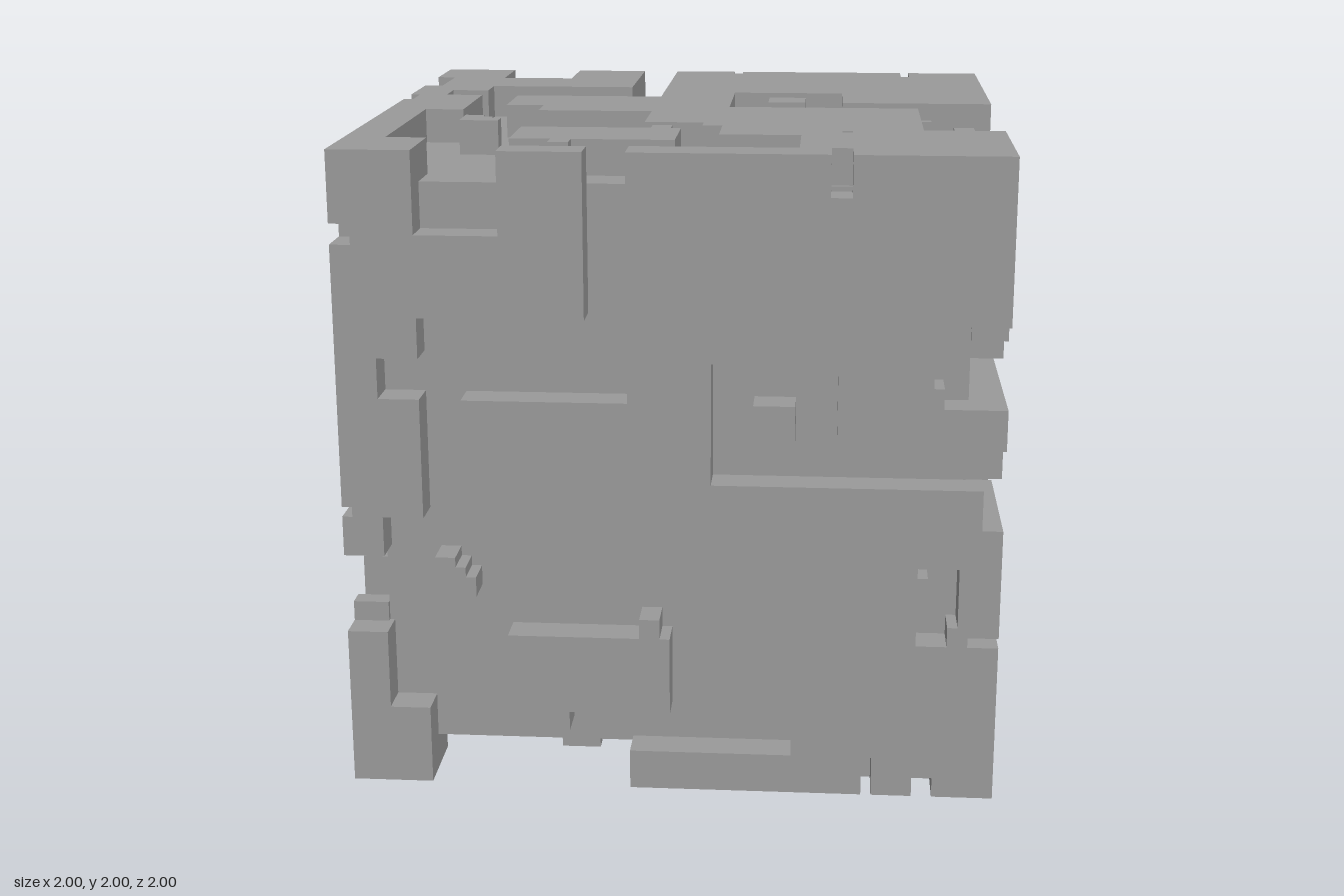
import * as THREE from 'three';
import { mergeGeometries } from 'three/addons/utils/BufferGeometryUtils.js';

const N = 32;          // grid units per half side
const CORE = 0.89;     // half size of the inner cube = floor of all recesses
const QUARTER = Math.PI / 2;

// Rectangles [u0, v0, u1, v1] in grid units, shared by all sides
const CHANNEL = [
  [-8, 8, -4, 32], [-24, 8, -4, 16], [-28, 8, -24, 12], [-24, -4, -20, 8], [-24, -4, -16, 0],
  [-28, -24, -4, -4], [-24, -32, -4, -24], [-4, -28, 2, -12], [2, -28, 4, -14], [4, -28, 12, -20],
];
const TABBED_BLOCK = [[-16, -24, 0, -16], [-3, -16, -1, -14], [-12, -26, -10, -24]];
const STEPPED_STUD = [0, 1, 2].map((i) => [-23, -12, -21 + i, -8 - i]);
const CORNER_NOTCH = [-24, 24, -16, 32];
const PIT = [[4, 0, 16, 12], [16, 0, 32, 4]];
const PIT_STUD = [8, 4, 12, 8];
const POCKET_TOOTH = [24, -10, 25, -9];
const SLIT = [-4, -11, 24, -8];
const WIDE_OUTLET = [24, -8, 32, 0];

// Turn a rectangle clockwise about the centre of the side
function turnRect([a, b, c, d], turns) {
  for (let i = 0; i < turns; i++) [a, b, c, d] = [b, -c, d, -a];
  return [a, b, c, d];
}

// Notch in the rim of a panel, from a to b along the given edge
function rimNotch(edge, a, b, depth = 4) {
  const inner = N - depth;
  if (edge === 'top') return [a, inner, b, N];
  if (edge === 'bottom') return [a, -N, b, -inner];
  if (edge === 'left') return [-N, a, -inner, b];
  return [inner, a, N, b];
}

// Raised cells of one side: recesses are cleared, then islands put back
function paintMask({ turns = 0, pocketOpen = true, slit = true, wideOutlet = false, holes = [], notches }) {
  const mask = Array.from({ length: 2 * N }, () => new Uint8Array(2 * N).fill(1));
  const paint = (value, rects, k = turns) => {
    for (const rect of rects) {
      const [a, b, c, d] = turnRect(rect, k);
      for (let v = b; v < d; v++) mask[v + N].fill(value, a + N, c + N);
    }
  };
  paint(0, [...CHANNEL, CORNER_NOTCH, ...PIT]);
  paint(1, [...TABBED_BLOCK, ...STEPPED_STUD, PIT_STUD]);
  // pocket near the right edge, with a tooth in its lower wall
  paint(0, [[24, -16, pocketOpen ? 32 : 28, -8]]);
  paint(1, [[27, -16, pocketOpen ? 29 : 28, -14]]);
  if (slit) paint(0, [SLIT]);
  else paint(1, [POCKET_TOOTH]);
  if (wideOutlet) paint(0, [WIDE_OUTLET]);
  paint(0, [...holes, ...notches.map((n) => rimNotch(...n))], 0);
  return mask;
}

// Cover the raised cells with as few slabs as possible
function slabGeometry(mask) {
  const parts = [];
  const full = (row, a, b) => row.subarray(a, b).every((x) => x === 1);
  for (let v = 0; v < 2 * N; v++) {
    for (let u = 0; u < 2 * N; u++) {
      if (!mask[v][u]) continue;
      let u1 = u;
      let v1 = v + 1;
      while (u1 < 2 * N && mask[v][u1]) u1++;
      while (v1 < 2 * N && full(mask[v1], u, u1)) v1++;
      for (let k = v; k < v1; k++) mask[k].fill(0, u, u1);
      const box = new THREE.BoxGeometry((u1 - u) / N, (v1 - v) / N, 1 - CORE);
      box.translate((u + u1) / (2 * N) - 1, (v + v1) / (2 * N) - 1, (1 + CORE) / 2);
      parts.push(box);
    }
  }
  return mergeGeometries(parts);
}

export function createModel() {
  const material = new THREE.MeshStandardMaterial({ color: 0x9a9a9a });
  const model = new THREE.Group();
  model.name = 'reliefCube';

  const addMesh = (name, geometry) => {
    const mesh = new THREE.Mesh(geometry, material);
    mesh.name = name;
    mesh.position.y = 1;
    model.add(mesh);
    return mesh;
  };
  // Panel swung to its side by quarter turns about x (tilt) or y (spin)
  const addPanel = (name, tilt, spin, options) => {
    const panel = addMesh(name, slabGeometry(paintMask(options)));
    panel.rotation.set(tilt * QUARTER, spin * QUARTER, 0);
  };

  // solid inner cube
  addMesh('core', new THREE.BoxGeometry(2 * CORE, 2 * CORE, 2 * CORE));

  // six raised panels, notched where the outlets of a neighbour meet them
  addPanel('frontPanel', 0, 0, {
    pocketOpen: false, slit: false,
    notches: [['left', -16, -8], ['left', 23, 25, 2], ['left', -4, -3, 1], ['right', 8, 16, 6],
      ['right', 10, 12, 7], ['right', -4, 0, 2], ['right', -16, -15, 3], ['bottom', 24, 26, 2],
      ['bottom', 19, 20], ['top', 15, 17]],
  });
  addPanel('rightPanel', 0, 1, {
    turns: 2,
    notches: [['left', 0, 4], ['left', -16, -15], ['top', -16, 4], ['right', 4, 24],
      ['right', -25, -23, 1], ['right', -32, -27], ['bottom', 27, 32], ['bottom', -8, -4],
      ['bottom', -24, -23], ['bottom', -17, -16]],
  });
  addPanel('backPanel', 0, 2, {
    turns: 1,
    notches: [['top', 16, 24], ['top', 4, 8], ['top', -4, -3, 2], ['top', -24, -23],
      ['bottom', -4, 0], ['bottom', 8, 16], ['left', -25, -23], ['left', -32, -27]],
  });
  addPanel('leftPanel', 0, -1, {
    notches: [['bottom', -4, 24], ['left', 4, 8], ['left', 16, 24, 2], ['right', 23, 25],
      ['right', -4, -3]],
  });
  addPanel('topPanel', -1, 0, {
    slit: false, wideOutlet: true, holes: [[16, -18, 17, -17]],
    notches: [['left', 16, 25, 2], ['left', 4, 8, 1], ['top', 3, 4, 2], ['top', 23, 24],
      ['bottom', 15, 17]],
  });
  addPanel('bottomPanel', 1, 0, {
    turns: 1,
    notches: [['top', -24, -4], ['top', 19, 20], ['top', 24, 26], ['left', -24, 24],
      ['right', -32, -27], ['bottom', -4, 0], ['bottom', 8, 16]],
  });
  return model;
}
